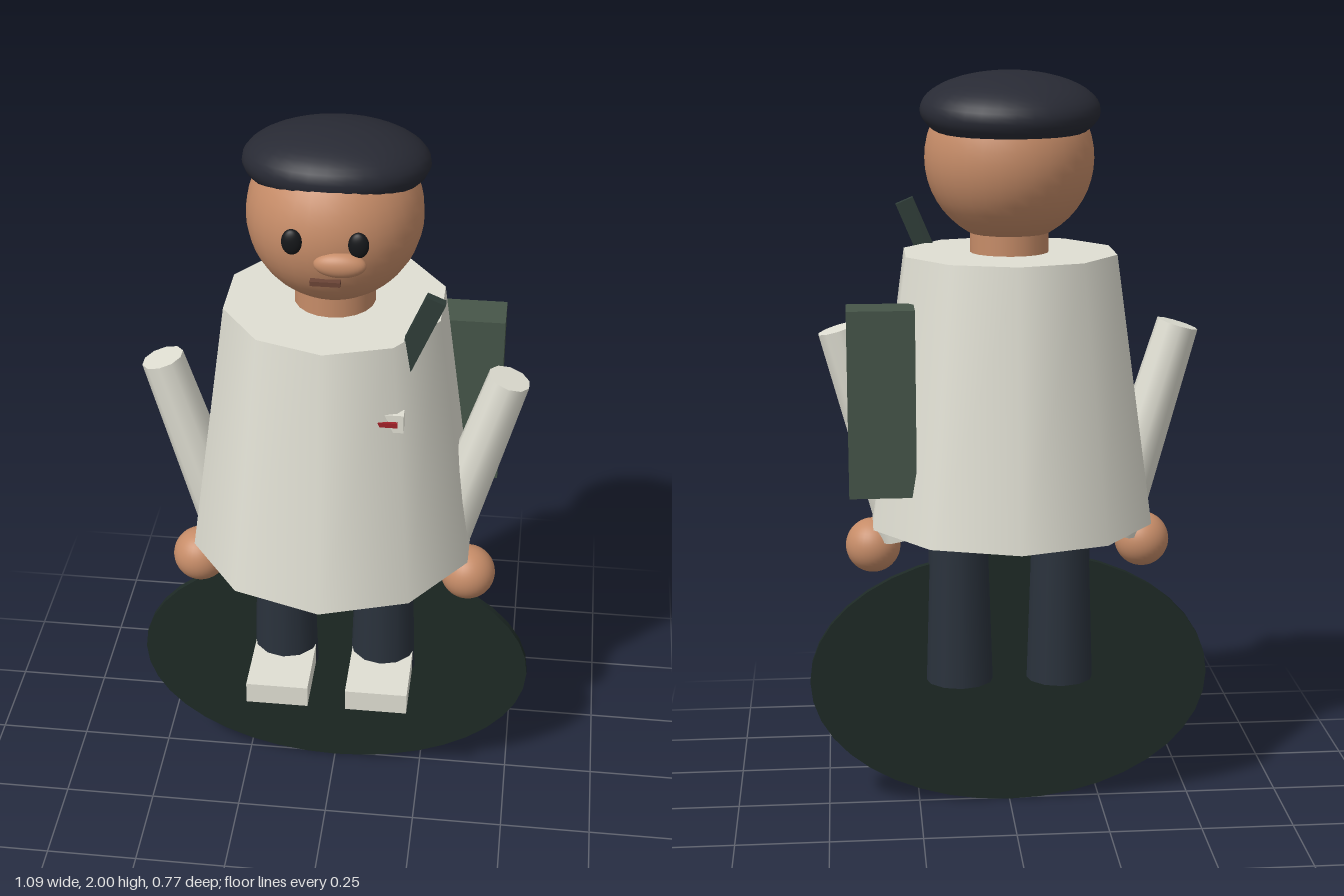
import * as THREE from 'three';

export function createModel() {
  const group = new THREE.Group();
  const paint = (color) => new THREE.MeshStandardMaterial({ color });
  const coat = paint(0xe0dfd3), skin = paint(0xc68c68), navy = paint(0x2a323c), beretCloth = paint(0x282a34);
  const black = paint(0x15171a), green = paint(0x465549), darkGreen = paint(0x2f3d38), floor = paint(0x1e2a26);
  const red = paint(0xa02028), brown = paint(0x6b4436);

  const add = (name, geometry, material, x, y, z) => {
    const mesh = new THREE.Mesh(geometry, material);
    mesh.name = name;
    mesh.position.set(x, y, z);
    group.add(mesh);
    return mesh;
  };
  const box = (w, h, d) => new THREE.BoxGeometry(w, h, d);
  const ellipsoid = (rx, ry, rz) => new THREE.SphereGeometry(1, 32, 24).scale(rx, ry, rz);

  // Upright oval disc behind the legs
  add('disc', new THREE.CylinderGeometry(1, 1, 0.02, 40).rotateX(Math.PI / 2).scale(0.545, 0.36, 1), floor, 0, 0.36, 0);

  // Coat and neck
  add('coat', new THREE.CylinderGeometry(0.287, 0.387, 0.715, 10), coat, 0, 1.1775, 0);
  add('neck', new THREE.CylinderGeometry(0.103, 0.103, 0.12, 20), skin, 0, 1.56, 0);

  // Head, face and beret
  add('head', ellipsoid(0.22, 0.22, 0.22), skin, 0, 1.78, 0);
  add('nose', ellipsoid(0.064, 0.032, 0.028), skin, 0.036, 1.745, 0.215);
  add('mouth', box(0.074, 0.012, 0.022), brown, 0, 1.692, 0.209);
  const beret = add('beret', ellipsoid(0.232, 0.094, 0.207), beretCloth, 0, 1.904, -0.029);
  beret.rotation.x = -0.12;

  // Paired parts
  for (const s of [1, -1]) {
    const side = s > 0 ? 'left' : 'right';
    add(side + 'Eye', ellipsoid(0.025, 0.033, 0.015), black, s * 0.08, 1.797, 0.21);

    // Sleeve leans outward at the top and passes into the coat below
    const top = new THREE.Vector3(s * 0.45, 1.335, 0.014), end = new THREE.Vector3(s * 0.282, 0.77, 0.012);
    const axis = top.clone().sub(end), mid = top.clone().add(end).multiplyScalar(0.5);
    const arm = add(side + 'Arm', new THREE.CylinderGeometry(0.056, 0.07, axis.length(), 10), coat, mid.x, mid.y, mid.z);
    arm.quaternion.setFromUnitVectors(new THREE.Vector3(0, 1, 0), axis.normalize());

    add(side + 'Hand', ellipsoid(0.074, 0.074, 0.074), skin, s * 0.367, 0.733, 0.043);
    add(side + 'Leg', new THREE.CylinderGeometry(0.077, 0.093, 0.5, 12), navy, s * 0.137, 0.61, 0);
    add(side + 'Shoe', box(0.17, 0.063, 0.2), coat, s * 0.137, 0.393, 0.12);
  }

  // Pack behind the left shoulder and the strap end above it
  add('pack', box(0.173, 0.485, 0.114), green, 0.343, 1.178, -0.174);
  const strap = add('strap', box(0.05, 0.3, 0.027), darkGreen, 0.209, 1.511, 0.183);
  strap.rotation.z = -0.4;

  // Small badge on the chest
  add('badge', box(0.06, 0.05, 0.03), coat, 0.17, 1.335, 0.247);
  add('badgeStripe', box(0.055, 0.013, 0.02), red, 0.158, 1.335, 0.26);

  return group;
}
